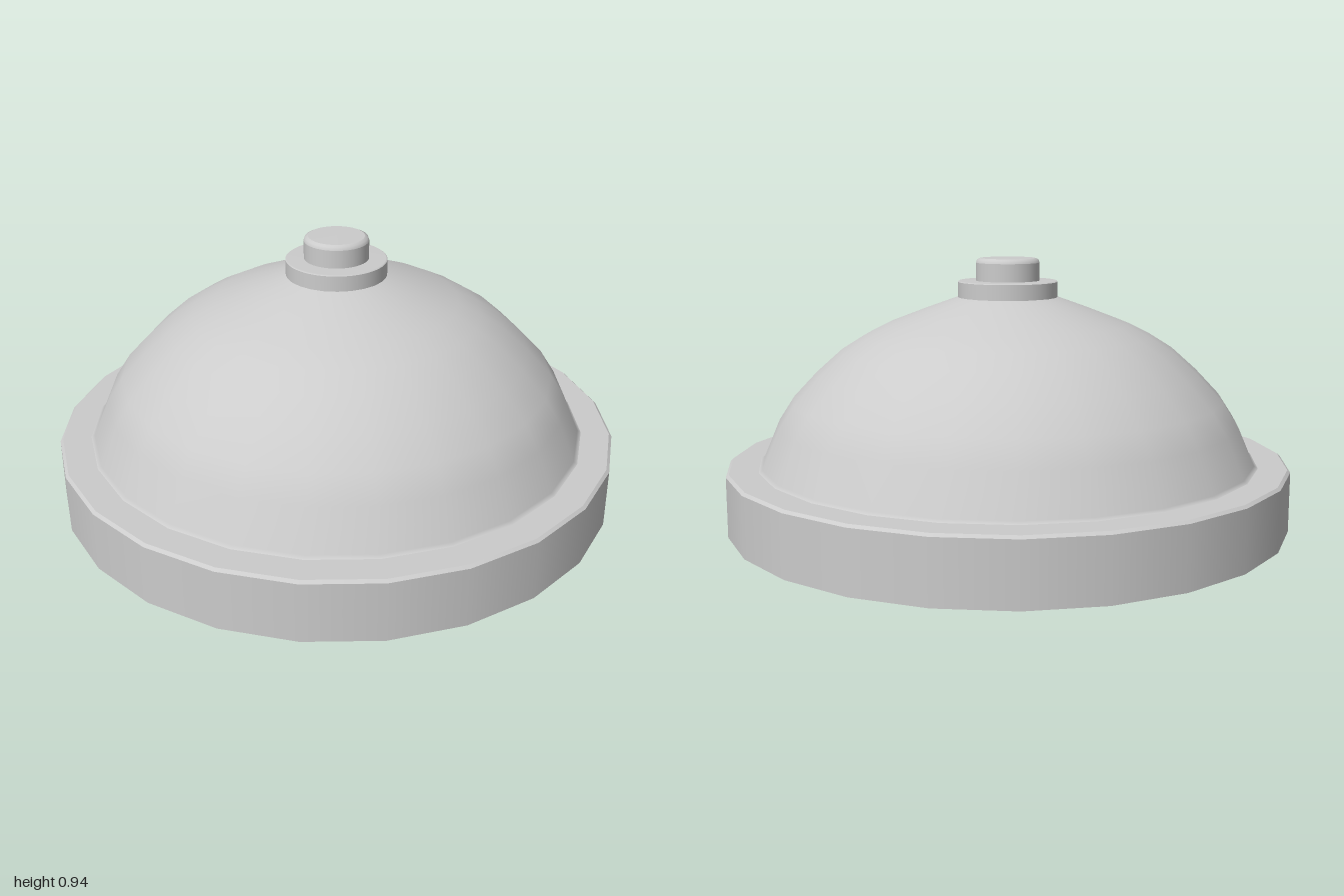
import * as THREE from 'three';

const material = new THREE.MeshStandardMaterial({ color: 0xcccccc, side: THREE.DoubleSide });

// Revolves a bottom-to-top profile of [radius, height] pairs
function revolve(name, profile, sides) {
  const points = profile.map(([r, y]) => new THREE.Vector2(r, y));
  const mesh = new THREE.Mesh(new THREE.LatheGeometry(points, sides), material);
  mesh.name = name;
  return mesh;
}

function group(name, ...parts) {
  const g = new THREE.Group();
  g.name = name;
  g.add(...parts);
  return g;
}

export function createModel() {
  // Thin open rim: upright wall, small rounded edge and flat ledge
  const rim = group('rim',
    revolve('rimWall', [[1, 0], [1, 0.21]], 24),
    revolve('rimEdge', [[1, 0.21], [0.99, 0.219]], 24),
    revolve('rimLedge', [[0.99, 0.219], [0.89, 0.219]], 24),
  );

  // Hollow dome shell
  const dome = revolve('dome', [
    [0.89, 0.219], [0.877, 0.227], [0.82, 0.36], [0.765, 0.445], [0.68, 0.535],
    [0.59, 0.615], [0.51, 0.665], [0.43, 0.705], [0.3, 0.755], [0.175, 0.8],
    [0.08, 0.825], [0, 0.83],
  ], 24);

  // Collar at the crown
  const collar = group('collar',
    revolve('collarWall', [[0.177, 0.795], [0.177, 0.853]], 48),
    revolve('collarTop', [[0.177, 0.853], [0.172, 0.857], [0, 0.857]], 48),
  );

  // Knob with a softened top edge
  const knob = group('knob',
    revolve('knobWall', [[0.113, 0.84], [0.113, 0.92]], 48),
    revolve('knobEdge', [[0.113, 0.92], [0.109, 0.931], [0.098, 0.936]], 48),
    revolve('knobTop', [[0.098, 0.936], [0, 0.937]], 48),
  );

  return group('domedCover', rim, dome, collar, knob);
}
